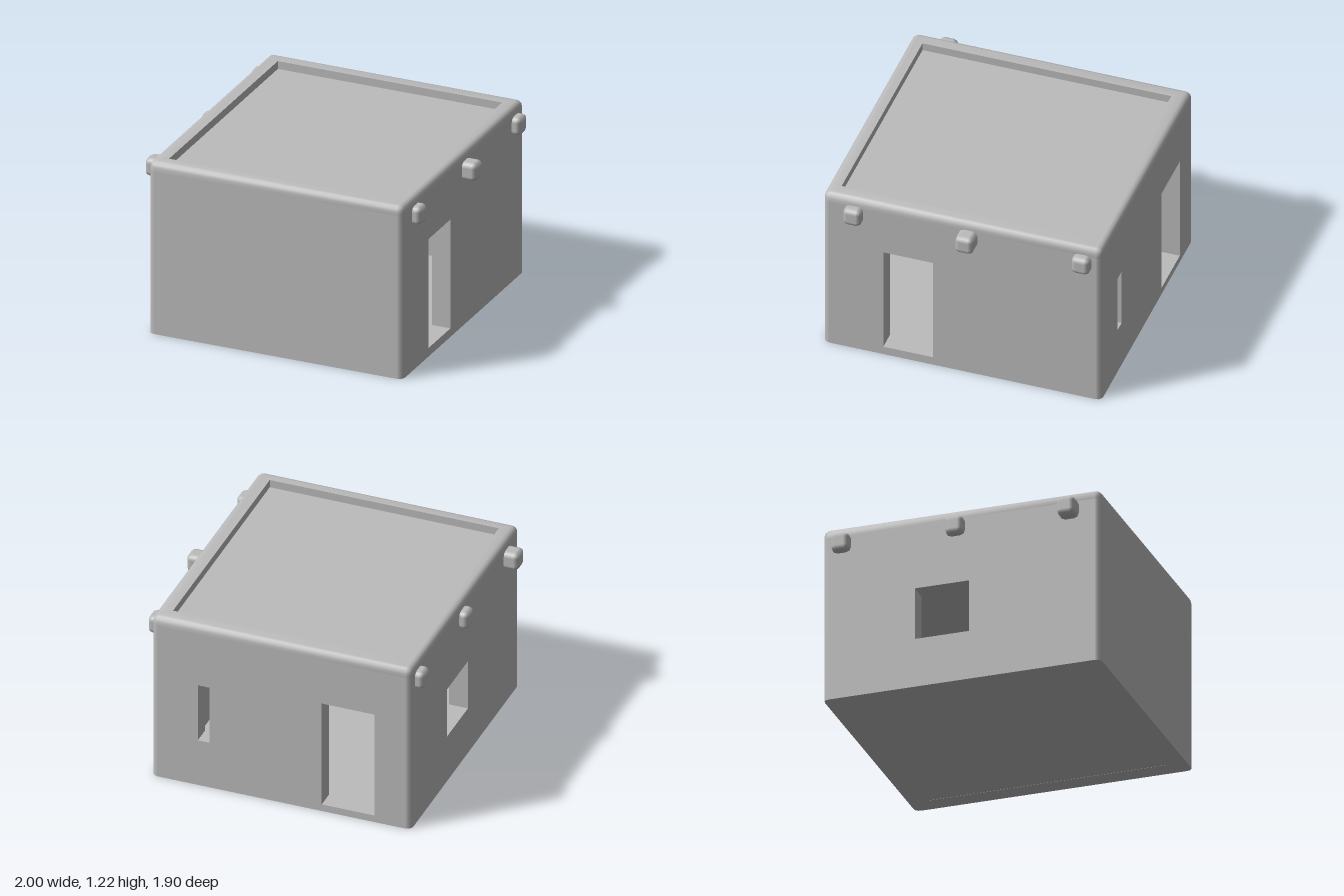
import * as THREE from 'three';
import { toCreasedNormals } from 'three/addons/utils/BufferGeometryUtils.js';
import { RoundedBoxGeometry } from 'three/addons/geometries/RoundedBoxGeometry.js';

const HX = 0.9, HZ = 0.95, WALL = 0.13, R = 0.04;   // half sizes, wall thickness, corner radius
const WALL_TOP = 1.15, TOP = 1.215, ROOF = 1.16;

export function createModel() {
  const model = new THREE.Group();
  model.name = 'adobeHouse';
  const plaster = new THREE.MeshStandardMaterial({ color: 0xbcbcbc });
  plaster.name = 'grey plaster';

  const add = (name, geometry, x = 0, y = 0, z = 0, ry = 0) => {
    const mesh = new THREE.Mesh(geometry, plaster);
    mesh.name = name;
    mesh.position.set(x, y, z);
    mesh.rotation.y = ry;
    model.add(mesh);
  };

  // Wall panel with rectangular openings [x0, x1, y0, y1]; outer face at local z = 0
  const wall = (halfWidth, openings) => {
    const rect = (path, x0, x1, y0, y1) =>
      path.moveTo(x0, y0).lineTo(x1, y0).lineTo(x1, y1).lineTo(x0, y1).lineTo(x0, y0);
    const shape = rect(new THREE.Shape(), -halfWidth, halfWidth, 0, WALL_TOP);
    for (const o of openings) shape.holes.push(rect(new THREE.Path(), ...o));
    return new THREE.ExtrudeGeometry(shape, { depth: WALL, bevelEnabled: false }).translate(0, 0, -WALL);
  };
  add('frontWall', wall(HX - R, []), 0, 0, HZ);
  add('backWall', wall(HX - R, [[0.28, 0.645, 0.05, 0.82], [-0.58, -0.5, 0.34, 0.76]]), 0, 0, -HZ, Math.PI);
  add('leftWall', wall(HZ - R, [[-0.54, -0.2, 0.06, 0.83]]), HX, 0, 0, Math.PI / 2);
  add('rightWall', wall(HZ - R, [[-0.32, 0.05, 0.34, 0.7]]), -HX, 0, 0, -Math.PI / 2);

  // Rounded vertical corners
  for (const sx of [-1, 1]) for (const sz of [-1, 1])
    add('wallCorner', new THREE.CylinderGeometry(R, R, WALL_TOP, 12), sx * (HX - R), WALL_TOP / 2, sz * (HZ - R));

  // Floor and roof slabs
  add('floor', new THREE.BoxGeometry(1.72, 0.049, 1.82), 0, 0.0255, 0);
  add('roof', new THREE.BoxGeometry(1.7, 0.11, 1.8), 0, ROOF - 0.055, 0);

  // Parapet: rounded rectangles stacked up, over the rim and down inside
  add('parapet', parapet());

  // Protruding roof beam ends
  const beamZ = [-0.82, -0.04, 0.74];
  const tips = { 1: [0.96, 1.0, 0.96], '-1': [0.96, 0.96, 1.0] };
  for (const side of [-1, 1]) beamZ.forEach((z, i) => {
    const length = tips[side][i] - 0.8;
    add('roofBeam', new RoundedBoxGeometry(length, 0.126, 0.126, 1, 0.034), side * (0.8 + length / 2), 1.093, z);
  });
  return model;
}

function parapet() {
  const STEPS = 3, n = 4 * (STEPS + 1);
  const cx = HX - R, cz = HZ - R, bend = TOP - R;
  // Each ring: half x, half z, z shift, corner radius, height
  const rings = [[cx, cz, 0, R, WALL_TOP]];
  for (let i = 0; i <= 3; i++) {
    const a = (i / 3) * Math.PI / 2;
    rings.push([cx, cz, 0, R * Math.cos(a), bend + R * Math.sin(a)]);
  }
  rings.push([0.795, 0.85, 0.01, 0, TOP], [0.795, 0.85, 0.01, 0, ROOF - 0.01]);

  const positions = [], index = [];
  for (const [hx, hz, dz, r, y] of rings)
    for (let q = 0; q < 4; q++) for (let s = 0; s <= STEPS; s++) {
      const a = (q + s / STEPS) * Math.PI / 2;
      const sx = q === 0 || q === 3 ? 1 : -1, sz = q < 2 ? 1 : -1;
      positions.push(sx * hx + r * Math.cos(a), y, dz + sz * hz + r * Math.sin(a));
    }
  for (let k = 0; k < rings.length - 1; k++) for (let j = 0; j < n; j++) {
    const a = k * n + j, b = k * n + (j + 1) % n;
    index.push(a, a + n, b, b, a + n, b + n);
  }
  const geometry = new THREE.BufferGeometry();
  geometry.setAttribute('position', new THREE.Float32BufferAttribute(positions, 3));
  geometry.setIndex(index);
  return toCreasedNormals(geometry, 0.65);
}
